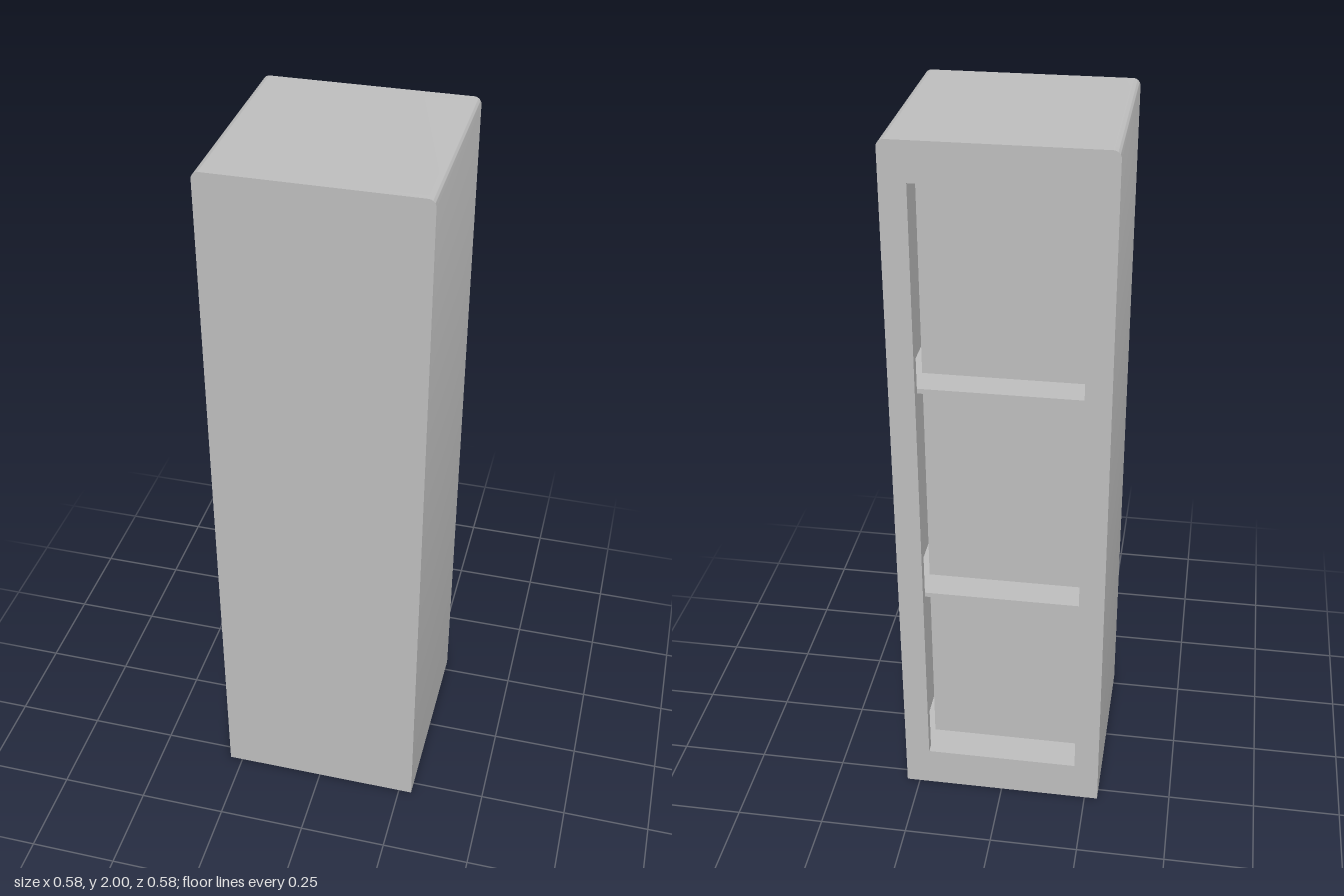
import * as THREE from 'three';
import { toCreasedNormals } from 'three/addons/utils/BufferGeometryUtils.js';

const HALF = 0.288, HEIGHT = 2, RADIUS = 0.02;
const INNER = 0.272, FLOOR = 0.045, CEILING = 1.985;

// Upright cabinet outline with rounded top corners
function outline() {
  const s = new THREE.Shape();
  s.moveTo(-HALF, 0);
  s.lineTo(HALF, 0);
  s.lineTo(HALF, HEIGHT - RADIUS);
  s.absarc(HALF - RADIUS, HEIGHT - RADIUS, RADIUS, 0, Math.PI / 2, false);
  s.absarc(-HALF + RADIUS, HEIGHT - RADIUS, RADIUS, Math.PI / 2, Math.PI, false);
  s.closePath();
  return s;
}

function rectHole(halfWidth, bottom, top) {
  const p = new THREE.Path();
  p.moveTo(-halfWidth, bottom);
  p.lineTo(-halfWidth, top);
  p.lineTo(halfWidth, top);
  p.lineTo(halfWidth, bottom);
  p.closePath();
  return p;
}

export function createModel() {
  const group = new THREE.Group();
  const grey = new THREE.MeshStandardMaterial({ color: 0xbfbfbf });
  grey.name = 'grey';

  const add = (name, geometry, x = 0, y = 0, z = 0) => {
    const mesh = new THREE.Mesh(geometry, grey);
    mesh.name = name;
    mesh.position.set(x, y, z);
    group.add(mesh);
  };

  // Slice of the cabinet between two depths, optionally pierced
  const slice = (name, z0, z1, hole) => {
    const shape = outline();
    if (hole) shape.holes.push(hole);
    const geometry = new THREE.ExtrudeGeometry(shape, { depth: z1 - z0, bevelEnabled: false, curveSegments: 8 });
    add(name, toCreasedNormals(geometry, 0.5), 0, 0, z0);
  };

  // Thin-walled casing: closed front, hollow body, framed opening at the back
  slice('frontPanel', INNER, HALF);
  slice('bodyShell', -0.262, INNER, rectHole(INNER, FLOOR, CEILING));
  slice('backFrame', -HALF, -0.262, rectHole(0.218, 0.12, 1.895));

  // Inner block standing on the floor, clear of the walls and ceiling
  const blockBack = -0.108, blockTop = 1.83;
  add('innerBlock', new THREE.BoxGeometry(0.474, blockTop - FLOOR, INNER - blockBack),
    0, (blockTop + FLOOR) / 2, (INNER + blockBack) / 2);

  // Two thin shelves set back from the opening
  const shelfBack = -0.198;
  for (const y of [0.63, 1.29]) {
    add('shelf', new THREE.BoxGeometry(INNER * 2, 0.014, INNER - shelfBack), 0, y, (INNER + shelfBack) / 2);
  }
  return group;
}
